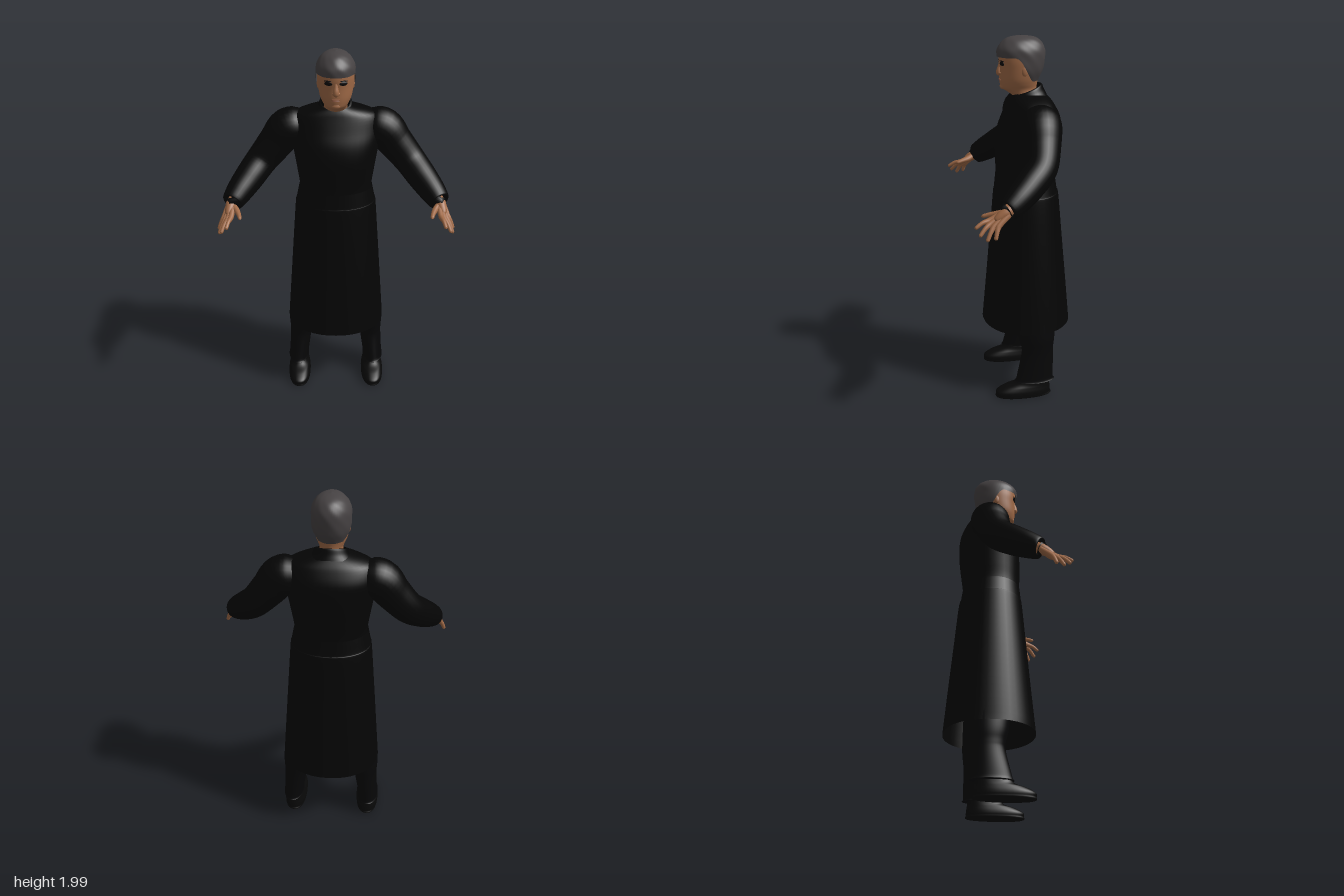
import * as THREE from 'three';
import { mergeVertices } from 'three/addons/utils/BufferGeometryUtils.js';

const V = (x, y, z) => new THREE.Vector3(x, y, z);

// Upright loft through oval sections [y, half width, front z, back z], bottom to top.
function loft(sections, { cx = 0, lean = 0, n = 2, rows = 32, cols = 40, start = () => 0, tilt = 0, bump = 0 } = {}) {
  const spline = (f) => new THREE.CatmullRomCurve3(sections.map(f), false, 'catmullrom', 0.5);
  const sizes = spline((s) => V(s[0], s[1], 0));
  const depths = spline((s) => V(s[2], s[3], 0));
  const pos = [], index = [];
  for (let j = 0; j <= rows; j++) {
    for (let i = 0; i < cols; i++) {
      const a = (i / cols) * Math.PI * 2;
      const u0 = start(a), u = u0 + (1 - u0) * (j / rows);
      const s = sizes.getPoint(u), d = depths.getPoint(u);
      const round = (t) => Math.sign(t) * Math.pow(Math.abs(t), 2 / n);
      const k = 1 + bump * Math.sin(a * 7 + u * 9) * Math.sin(u * 17 + a * 3);
      const z = (d.x + d.y) / 2 + ((d.x - d.y) / 2) * round(Math.cos(a)) * k;
      pos.push(cx + lean * s.x + s.y * round(Math.sin(a)) * k, s.x - tilt * z, z);
      if (j < rows) {
        const p = j * cols + i, q = j * cols + ((i + 1) % cols);
        index.push(p, q, q + cols, p, q + cols, p + cols);
      }
    }
  }
  const g = new THREE.BufferGeometry();
  g.setAttribute('position', new THREE.Float32BufferAttribute(pos, 3));
  g.setIndex(index);
  g.computeVertexNormals();
  return g;
}

// Tube of changing radius through points [x, y, z, radius].
function limb(points, side = 1, segs = 28, radial = 20) {
  const path = new THREE.CatmullRomCurve3(points.map((p) => V(p[0] * side, p[1], p[2])));
  path.getUtoTmapping = (u) => u;
  const radii = new THREE.CatmullRomCurve3(points.map((p) => V(p[3], 0, 0)), false, 'catmullrom', 0.5);
  let g = new THREE.TubeGeometry(path, segs, 1, radial);
  const pos = g.attributes.position, v = V(0, 0, 0);
  for (let i = 0; i < pos.count; i++) {
    const t = Math.floor(i / (radial + 1)) / segs;
    const c = path.getPoint(t);
    v.fromBufferAttribute(pos, i).sub(c).multiplyScalar(Math.max(radii.getPoint(t).x, 0.0005)).add(c);
    pos.setXYZ(i, v.x, v.y, v.z);
  }
  g.deleteAttribute('uv');
  g.deleteAttribute('normal');
  g = mergeVertices(g, 1e-5);
  g.computeVertexNormals();
  return g;
}

export function createModel() {
  const model = new THREE.Group();
  const material = (name, color, side = THREE.FrontSide) => {
    const m = new THREE.MeshStandardMaterial({ color, side });
    m.name = name;
    return m;
  };
  const coat = material('black coat cloth', 0x050505, THREE.DoubleSide);
  const trouser = material('black trouser cloth', 0x060607);
  const leather = material('black shoe leather', 0x080808);
  const skin = material('skin', 0xa06a47);
  const hairGrey = material('grey hair', 0x464243, THREE.DoubleSide);
  const dark = material('dark eyes', 0x0b0808);
  const lip = material('lips', 0x8a5540);

  const add = (name, geometry, mat, parent = model) => {
    const mesh = new THREE.Mesh(geometry, mat);
    mesh.name = name;
    parent.add(mesh);
  };
  const blob = (name, mat, parent, [x, y, z], [sx, sy, sz], turn = 0) => {
    const g = new THREE.SphereGeometry(1, 20, 14).scale(sx, sy, sz).rotateY(turn).translate(x, y, z);
    add(name, g, mat, parent);
  };

  // Coat: body, flared skirt and standing collar
  add('coatBody', loft([
    [1.15, 0.2, 0.105, -0.215], [1.25, 0.195, 0.103, -0.213], [1.34, 0.207, 0.105, -0.224],
    [1.43, 0.222, 0.105, -0.235], [1.51, 0.235, 0.09, -0.24], [1.58, 0.24, 0.062, -0.235],
    [1.645, 0.225, 0.036, -0.203], [1.675, 0.175, 0.024, -0.18], [1.7, 0.088, 0.01, -0.15],
  ], { n: 2.2 }), coat);
  add('coatSkirt', loft([
    [0.4, 0.275, 0.185, -0.307], [0.65, 0.257, 0.162, -0.284], [0.9, 0.239, 0.14, -0.26],
    [1.14, 0.221, 0.119, -0.237], [1.17, 0.215, 0.114, -0.228], [1.25, 0.199, 0.106, -0.216],
  ], { n: 2.1 }), coat);
  add('collar', loft([
    [1.63, 0.13, 0.03, -0.168], [1.66, 0.1, 0.023, -0.155],
    [1.69, 0.086, 0.019, -0.144], [1.695, 0.077, 0.011, -0.136],
  ], { tilt: 0.38, rows: 16 }), coat);

  // Head and neck
  const head = new THREE.Group();
  head.name = 'head';
  model.add(head);
  add('faceAndNeck', loft([
    [1.62, 0.066, -0.005, -0.12], [1.68, 0.064, 0.01, -0.12], [1.71, 0.061, 0.045, -0.118],
    [1.727, 0.064, 0.073, -0.116], [1.75, 0.075, 0.08, -0.118], [1.78, 0.085, 0.083, -0.125],
    [1.83, 0.093, 0.083, -0.135], [1.88, 0.096, 0.087, -0.14], [1.93, 0.09, 0.08, -0.135],
    [1.965, 0.058, 0.04, -0.1], [1.98, 0.005, -0.02, -0.03],
  ], { rows: 48 }), skin, head);
  add('hair', loft([
    [1.765, 0.074, 0.04, -0.122], [1.82, 0.098, 0.085, -0.148], [1.88, 0.103, 0.095, -0.16],
    [1.93, 0.099, 0.095, -0.158], [1.97, 0.074, 0.066, -0.135], [1.991, 0.041, 0.03, -0.098],
    [2.0, 0.001, -0.029, -0.031],
  ], {
    start: (a) => 0.37 * THREE.MathUtils.smoothstep(Math.cos(a), -0.55, 0.35),
    bump: 0.015, cols: 56,
  }), hairGrey, head);
  add('nose', limb([
    [0, 1.865, 0.076, 0.008], [0, 1.84, 0.08, 0.012], [0, 1.815, 0.084, 0.016],
    [0, 1.803, 0.082, 0.015], [0, 1.797, 0.075, 0.002],
  ]), skin, head);
  blob('upperLip', lip, head, [0, 1.775, 0.08], [0.023, 0.003, 0.006]);
  blob('lowerLip', lip, head, [0, 1.768, 0.08], [0.019, 0.004, 0.006]);
  blob('chin', skin, head, [0, 1.737, 0.067], [0.025, 0.016, 0.014]);

  for (const side of [1, -1]) {
    const name = (part) => (side > 0 ? 'left' : 'right') + part;

    // Face details
    blob(name('Eye'), dark, head, [0.038 * side, 1.859, 0.076], [0.022, 0.011, 0.005], 0.32 * side);
    blob(name('Brow'), dark, head, [0.041 * side, 1.872, 0.077], [0.021, 0.003, 0.004], 0.35 * side);
    blob(name('Nostril'), skin, head, [0.012 * side, 1.807, 0.08], [0.009, 0.008, 0.01]);
    blob(name('Ear'), skin, head, [0.089 * side, 1.825, -0.035], [0.009, 0.028, 0.017]);

    // Sleeve with rounded shoulder and cuff
    add(name('Sleeve'), limb([
      [0.13, 1.58, -0.095, 0.06], [0.2, 1.575, -0.092, 0.098], [0.255, 1.562, -0.088, 0.107],
      [0.32, 1.485, -0.08, 0.096], [0.4, 1.39, -0.055, 0.085], [0.46, 1.325, 0.012, 0.08],
      [0.515, 1.268, 0.085, 0.07], [0.548, 1.232, 0.136, 0.056], [0.549, 1.231, 0.138, 0.04],
      [0.548, 1.233, 0.134, 0.001],
    ], side, 45, 28), coat);

    // Hand: wrist, four fingers running back into the palm, and thumb
    const hand = new THREE.Group();
    hand.name = name('Hand');
    model.add(hand);
    add('wrist', limb([
      [0.53, 1.25, 0.11, 0.028], [0.55, 1.228, 0.14, 0.03],
      [0.558, 1.21, 0.17, 0.026], [0.566, 1.19, 0.2, 0.016], [0.57, 1.183, 0.21, 0.001],
    ], side), skin, hand);
    const fingers = [
      ['indexFinger', [0.549, 1.187, 0.227], [0.57, 1.155, 0.306]],
      ['middleFinger', [0.566, 1.177, 0.224], [0.6, 1.122, 0.288]],
      ['ringFinger', [0.581, 1.168, 0.21], [0.615, 1.1, 0.253]],
      ['littleFinger', [0.591, 1.167, 0.191], [0.62, 1.107, 0.212]],
    ];
    fingers.forEach(([part, k, t], i) => {
      const mix = (f, lift = 0) => k.map((c, a) => c + (t[a] - c) * f + (a === 1 ? lift : 0));
      add(part, limb([
        [0.543 + i * 0.009, 1.228 - i * 0.004, 0.15 - i * 0.005, 0.014], [...k, 0.0145],
        [...mix(0.5, 0.007), 0.011], [...mix(0.92), 0.009], [...t, 0.001],
      ], side, 20, 12), skin, hand);
    });
    add('thumb', limb([
      [0.545, 1.222, 0.155, 0.016], [0.522, 1.208, 0.19, 0.016],
      [0.507, 1.2, 0.228, 0.012], [0.5, 1.193, 0.255, 0.009], [0.498, 1.19, 0.264, 0.001],
    ], side, 20, 12), skin, hand);

    // Trouser leg, leaning in towards the hip
    add(name('TrouserLeg'), loft([
      [0.095, 0, -0.07, -0.07], [0.1, 0.055, 0.034, -0.175], [0.12, 0.056, 0.032, -0.176],
      [0.25, 0.062, 0.002, -0.178], [0.3, 0.067, 0.002, -0.18], [0.4, 0.079, 0.022, -0.188],
      [0.7, 0.083, 0.045, -0.18], [1.1, 0.08, 0.035, -0.155],
    ], { cx: 0.234 * side, lean: -0.1 * side, rows: 42 }), trouser);

    // Shoe
    add(name('Shoe'), loft([
      [0.008, 0, -0.005, -0.005], [0.009, 0.056, 0.138, -0.152], [0.025, 0.064, 0.15, -0.16],
      [0.045, 0.064, 0.147, -0.16], [0.068, 0.058, 0.105, -0.157], [0.088, 0.052, 0.045, -0.154],
      [0.13, 0.046, 0.01, -0.15],
    ], { cx: 0.218 * side, n: 2.3 }), leather);
  }
  return model;
}
